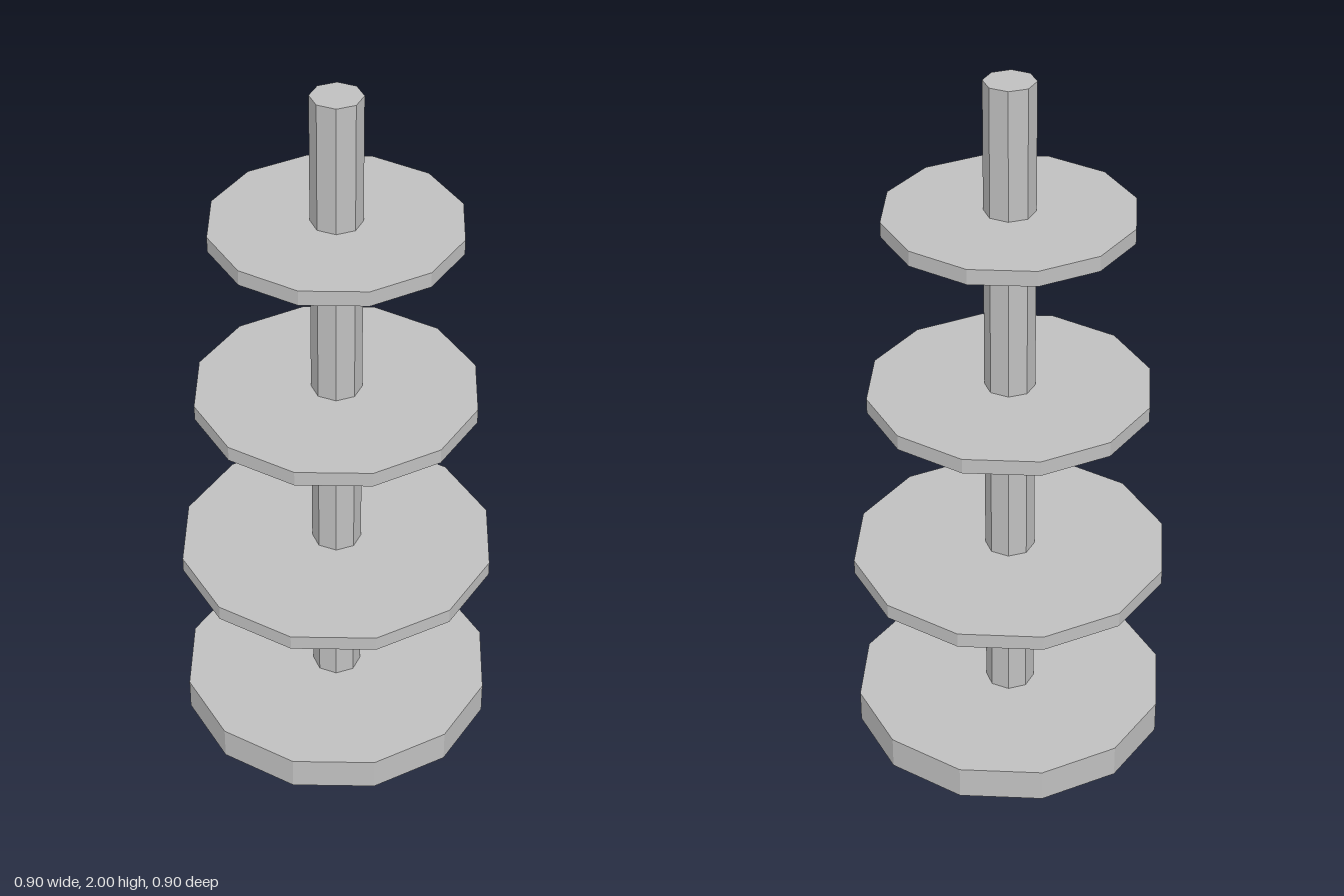
import * as THREE from 'three';

export function createModel() {
  const model = new THREE.Group();
  model.name = 'tieredStand';
  const grey = new THREE.MeshStandardMaterial({ color: 0xc0c0c0, flatShading: true });
  grey.name = 'grey';

  // Upright prism between two heights, with corners on the x and z axes
  function prism(name, radius, bottom, top, sides) {
    const geometry = new THREE.CylinderGeometry(radius, radius, top - bottom, sides);
    const mesh = new THREE.Mesh(geometry, grey);
    mesh.name = name;
    mesh.position.y = (bottom + top) / 2;
    model.add(mesh);
  }

  // Base and central pole
  prism('base', 0.45, 0, 0.096, 12);
  prism('pole', 0.07, 0.096, 2, 8);

  // Round shelves, smaller towards the top
  const shelves = [
    ['lowerShelf', 0.45, 0.535],
    ['middleShelf', 0.396, 1.065],
    ['upperShelf', 0.342, 1.594],
  ];
  for (const [name, radius, bottom] of shelves) {
    prism(name, radius, bottom, bottom + 0.043, 12);
  }
  return model;
}
